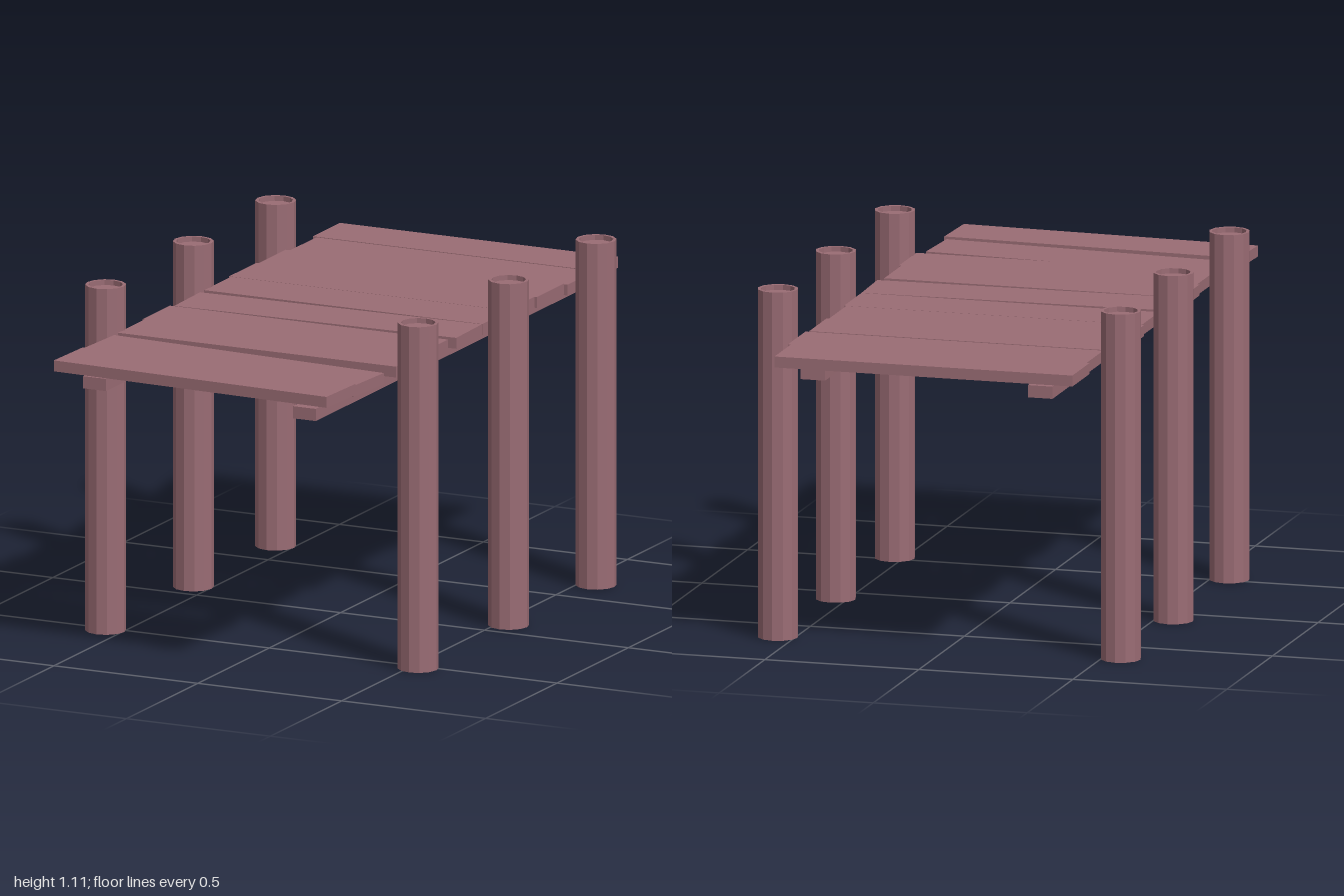
import * as THREE from 'three';

export function createModel() {
  const dock = new THREE.Group();
  dock.name = 'dock';
  const wood = new THREE.MeshStandardMaterial({ color: 0x9a6c74, flatShading: true, side: THREE.DoubleSide });
  wood.name = 'weathered wood';

  const add = (geometry, name, x, y, z, turn = 0) => {
    const mesh = new THREE.Mesh(geometry, wood);
    mesh.name = name;
    mesh.position.set(x, y, z);
    mesh.rotation.y = turn;
    dock.add(mesh);
  };

  // Posts: open at the foot, with a shallow recess in the top
  const profile = [[0.064, 0], [0.064, 1.11], [0.054, 1.11], [0.054, 1.094], [0, 1.094]]
    .map(([r, y]) => new THREE.Vector2(r, y));
  const postGeometry = new THREE.LatheGeometry(profile, 12);
  for (const [rightX, z] of [[0.555, -0.67], [0.538, -0.093], [0.528, 0.521]]) {
    add(postGeometry, 'rightPost', -0.558, 0, z);
    add(postGeometry, 'leftPost', rightX, 0, z);
  }

  // Two long beams under the deck, slightly offset lengthwise
  const beamGeometry = new THREE.BoxGeometry(0.08, 0.039, 1.92);
  add(beamGeometry, 'rightBeam', -0.388, 0.905, -0.02);
  add(beamGeometry, 'leftBeam', 0.365, 0.905, 0.03);

  // Deck planks: x, z, turn, drop
  const plankGeometry = new THREE.BoxGeometry(0.967, 0.035, 0.19);
  const planks = [
    [-0.015, -0.905, 0, 0],
    [-0.003, -0.715, 0, 0.002],
    [-0.015, -0.525, 0, 0],
    [-0.023, -0.335, 0, 0],
    [-0.015, -0.143, 0, 0],
    [-0.012, 0.063, 0.027, 0],
    [-0.023, 0.270, 0, 0],
    [-0.015, 0.460, 0, 0],
    [-0.033, 0.681, -0.06, 0.008],
    [-0.035, 0.881, -0.039, 0],
  ];
  for (const [x, z, turn, drop] of planks) add(plankGeometry, 'plank', x, 0.951 - drop, z, turn);

  return dock;
}
